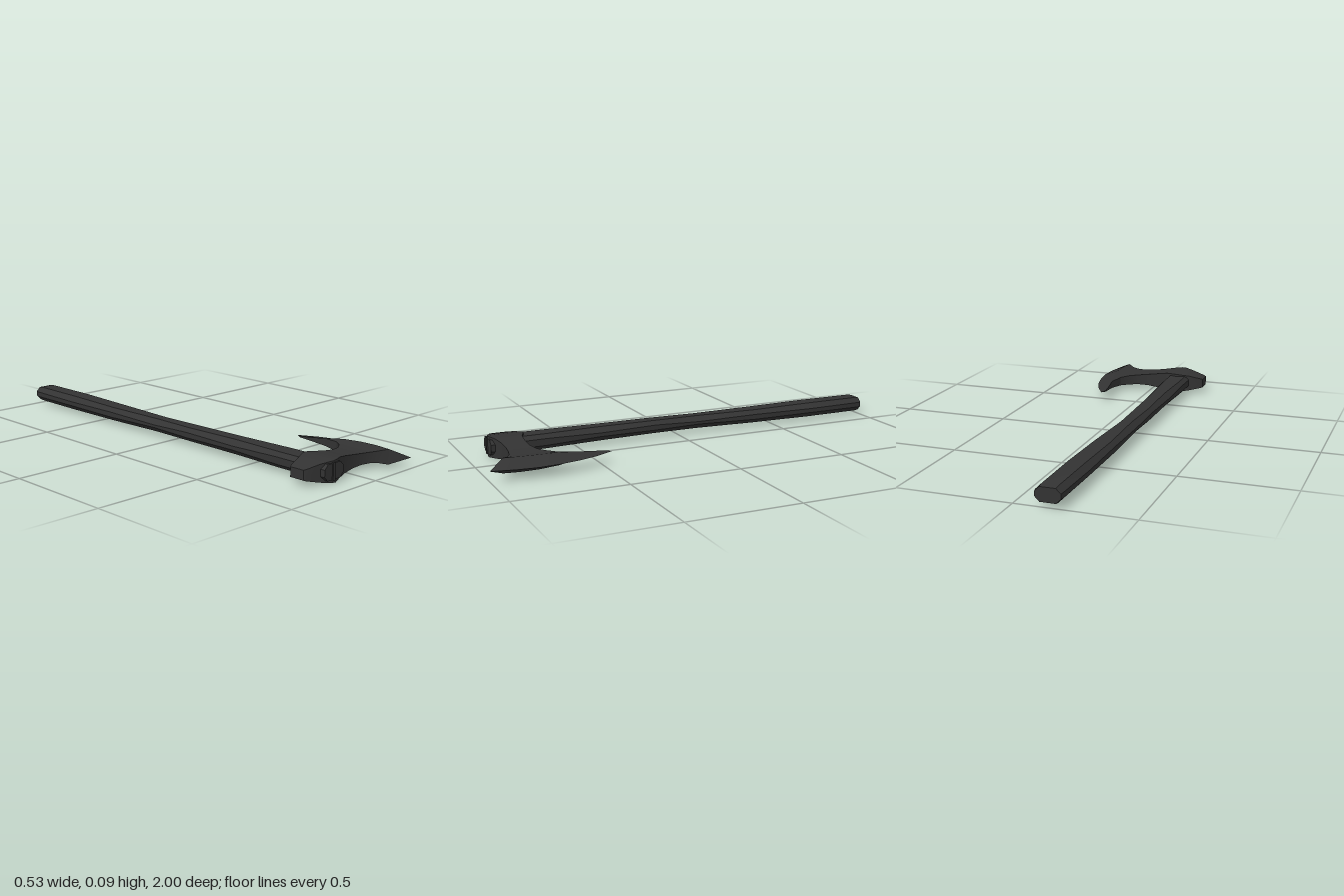
import * as THREE from 'three';
import { toCreasedNormals } from 'three/addons/utils/BufferGeometryUtils.js';

const MID = 0.047; // height of the plane of symmetry

// Collects flat quads into a geometry.
function quadBuilder() {
  const pos = [];
  return {
    quad(a, b, c, d) { for (const p of [a, b, c, a, c, d]) pos.push(...p); },
    tri(a, b, c) { pos.push(...a, ...b, ...c); },
    geometry(crease) {
      const g = new THREE.BufferGeometry();
      g.setAttribute('position', new THREE.Float32BufferAttribute(pos, 3));
      return toCreasedNormals(g, crease);
    },
  };
}

// Plate made of rows of [x, z, halfThickness]; wallCount closes the start of the first row.
function plate(rows, wallCount) {
  const b = quadBuilder();
  const up = ([x, z, h]) => [x, MID + h, z];
  const dn = ([x, z, h]) => [x, MID - h, z];
  const last = rows[0].length - 1;
  for (let i = 0; i < rows.length - 1; i++) {
    const r = rows[i], s = rows[i + 1];
    for (let j = 0; j < last; j++) {
      b.quad(up(r[j]), up(r[j + 1]), up(s[j + 1]), up(s[j]));
      b.quad(dn(r[j]), dn(s[j]), dn(s[j + 1]), dn(r[j + 1]));
    }
    b.quad(dn(r[last]), dn(s[last]), up(s[last]), up(r[last])); // front wall
    b.quad(dn(r[0]), up(r[0]), up(s[0]), dn(s[0])); // back wall
  }
  for (let j = 0; j < wallCount; j++) {
    b.quad(dn(rows[0][j]), dn(rows[0][j + 1]), up(rows[0][j + 1]), up(rows[0][j]));
  }
  return b.geometry(0.4);
}

// Carved handle: chamfered section swept along z.
function handleGeometry() {
  const b = quadBuilder();
  // z, x min, x max, y min, y max, chamfer
  const stations = [
    [-1, -0.197, -0.09, 0.02, 0.081, 0.02],
    [-0.98, -0.2, -0.086, 0.017, 0.084, 0.022],
    [-0.7, -0.204, -0.083, 0.016, 0.084, 0.024],
    [-0.4, -0.201, -0.092, 0.018, 0.08, 0.019],
    [-0.1, -0.198, -0.102, 0.02, 0.08, 0.024],
    [0.12, -0.199, -0.105, 0.021, 0.081, 0.018],
    [0.4, -0.2, -0.095, 0.018, 0.083, 0.024],
    [0.65, -0.2, -0.088, 0.016, 0.083, 0.018],
    [0.905, -0.2, -0.086, 0.015, 0.083, 0.019],
  ];
  const rings = stations.map(([z, x0, x1, y0, y1, c]) => [
    [x1, y0 + c], [x1, y1 - c], [x1 - c, y1], [x0 + c, y1],
    [x0, y1 - c], [x0, y0 + c], [x0 + c, y0], [x1 - c, y0],
  ].map(([x, y]) => [x, y, z]));
  for (let i = 0; i < rings.length - 1; i++) {
    for (let k = 0; k < 8; k++) {
      const n = (k + 1) % 8;
      b.quad(rings[i][k], rings[i][n], rings[i + 1][n], rings[i + 1][k]);
    }
  }
  const back = rings[0], front = rings[rings.length - 1];
  for (let k = 1; k < 7; k++) {
    b.tri(back[0], back[k + 1], back[k]);
    b.tri(front[0], front[k], front[k + 1]);
  }
  return b.geometry(0.35);
}

export function createModel() {
  const group = new THREE.Group();
  const material = new THREE.MeshStandardMaterial({ color: 0x333333 });
  const add = (name, geometry) => {
    const mesh = new THREE.Mesh(geometry, material);
    mesh.name = name;
    group.add(mesh);
    return mesh;
  };

  add('handle', handleGeometry());

  // Wedge driven into the end of the handle
  add('wedge', new THREE.BoxGeometry(0.014, 0.074, 0.1)).position.set(-0.147, 0.049, 0.86);

  // Ridge where the bevel starts, running from the long horn to the short one
  const ridge = [
    [0.151, 0.475, 0.003], [0.156, 0.54, 0.009], [0.163, 0.605, 0.017], [0.18, 0.69, 0.028],
    [0.188, 0.78, 0.032], [0.187, 0.86, 0.033], [0.177, 0.93, 0.033],
  ];
  const edge = [
    [0.165, 0.445, 0], [0.21, 0.53, 0], [0.241, 0.62, 0], [0.259, 0.71, 0],
    [0.267, 0.8, 0], [0.259, 0.89, 0], [0.235, 1, 0],
  ];

  // Poll, eye and neck: x, back z, front z, half thickness
  const body = [
    [-0.268, 0.787, 0.855, 0.021], [-0.26, 0.782, 0.862, 0.024], [-0.2, 0.765, 0.883, 0.038],
    [-0.15, 0.746, 0.904, 0.0455], [-0.13, 0.746, 0.904, 0.047], [-0.085, 0.765, 0.885, 0.044],
    [-0.04, 0.768, 0.874, 0.037], [0.02, 0.764, 0.869, 0.029], [0.07, 0.75, 0.873, 0.0245],
    [0.11, 0.723, 0.883, 0.0235], [0.143, 0.682, 0.9, 0.0255],
  ].map(([x, z0, z1, h]) => [0, 1, 2, 3, 4].map((j) => [
    x, THREE.MathUtils.lerp(z0, z1, j / 4), x > 0.14 && j === 0 ? 0.021 : h,
  ]));
  add('axeHead', plate([...body, ridge.slice(2)], 4));

  // Bevelled cutting edge with the inner side of the horn closed
  add('blade', plate([ridge, edge], 2));

  return group;
}
